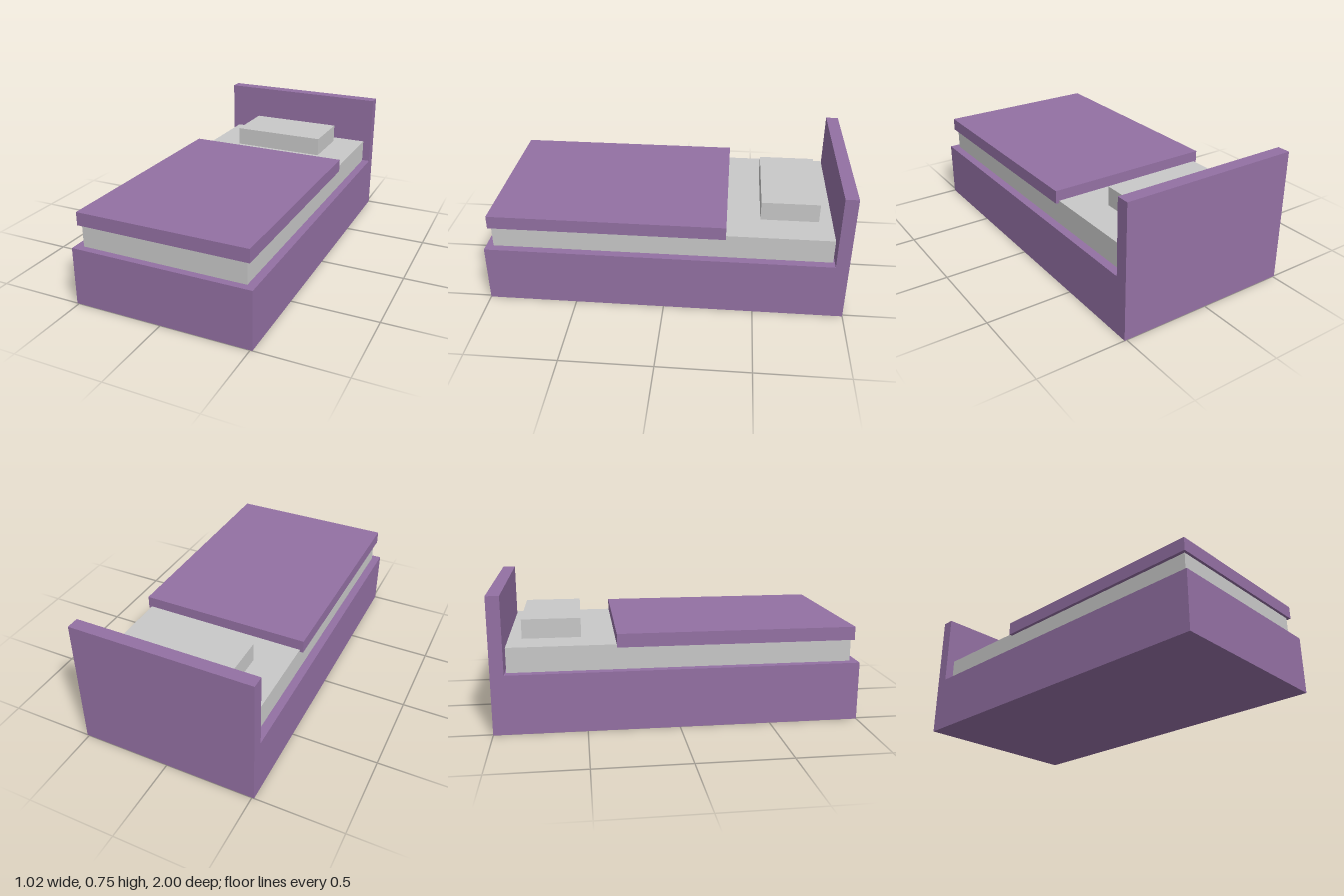
import * as THREE from 'three';

export function createModel() {
  const group = new THREE.Group();
  const purple = new THREE.MeshStandardMaterial({ color: 0x9370a3 });
  purple.name = 'purple';
  const linen = new THREE.MeshStandardMaterial({ color: 0xc8c8c8 });
  linen.name = 'lightGrey';

  // Box centred on x, given by its width and its y and z ranges
  function addBox(name, material, width, [y0, y1], [z0, z1]) {
    const mesh = new THREE.Mesh(new THREE.BoxGeometry(width, y1 - y0, z1 - z0), material);
    mesh.position.set(0, (y0 + y1) / 2, (z0 + z1) / 2);
    mesh.name = name;
    group.add(mesh);
  }

  // Frame and headboard
  addBox('bedBase', purple, 1.024, [0, 0.328], [-0.928, 1]);
  addBox('headboard', purple, 1.024, [0, 0.749], [-1, -0.928]);

  // Bedding
  addBox('mattress', linen, 0.932, [0.328, 0.465], [-0.919, 0.959]);
  addBox('blanket', purple, 0.97, [0.452, 0.526], [-0.336, 0.974]);
  addBox('pillow', linen, 0.558, [0.465, 0.573], [-0.845, -0.522]);

  return group;
}
